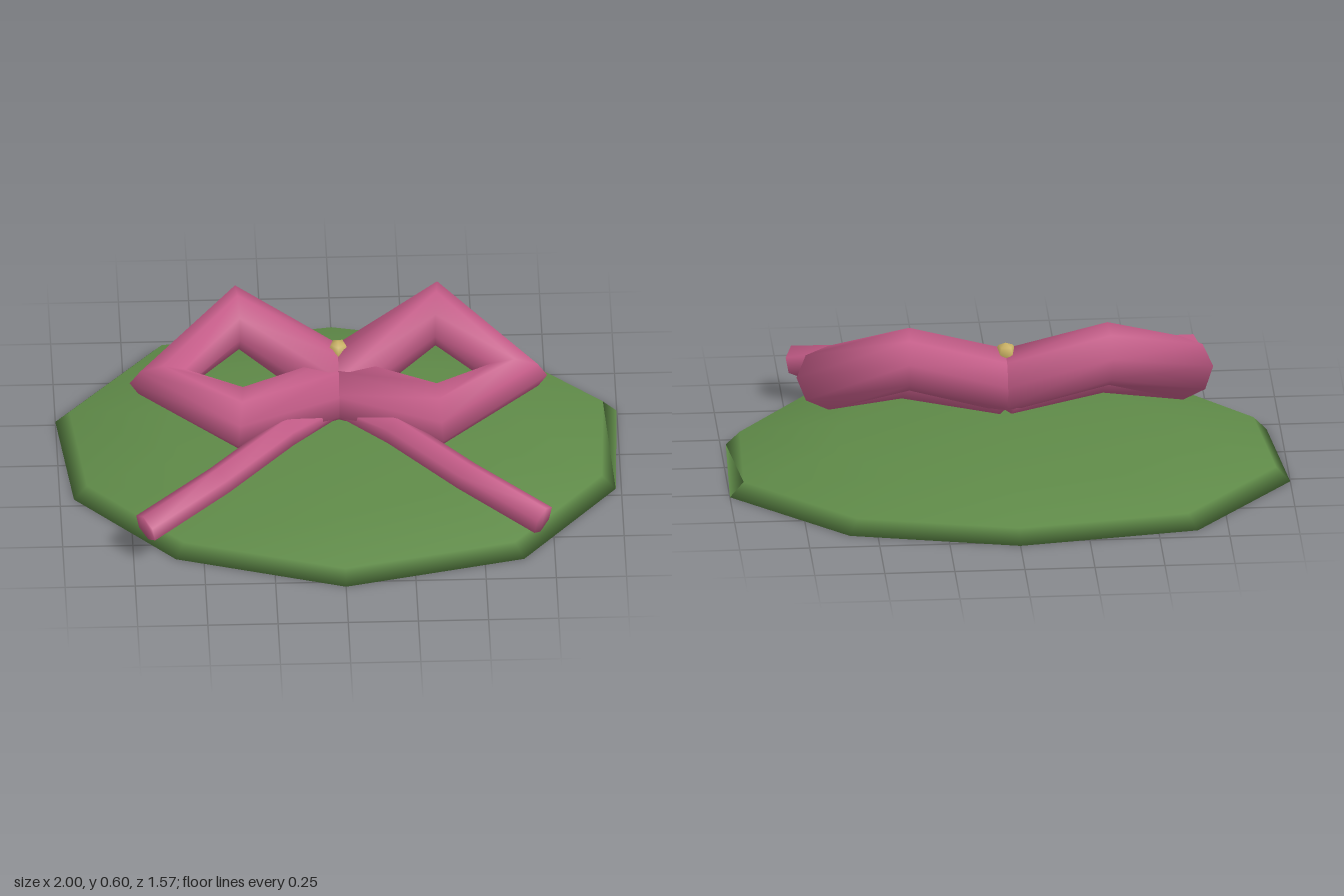
import * as THREE from 'three';

const pink = new THREE.MeshStandardMaterial({ color: 0xc45c88 });
pink.name = 'ribbon pink';
const green = new THREE.MeshStandardMaterial({ color: 0x5f8a48 });
green.name = 'leaf green';
const gold = new THREE.MeshStandardMaterial({ color: 0xc8b063 });
gold.name = 'bead gold';

const V = (p) => new THREE.Vector3(...p);

function makeMesh(name, geometry, material) {
  const mesh = new THREE.Mesh(geometry, material);
  mesh.name = name;
  return mesh;
}

function indexed(positions, index) {
  const g = new THREE.BufferGeometry();
  g.setAttribute('position', new THREE.Float32BufferAttribute(positions, 3));
  g.setIndex(index);
  g.computeVertexNormals();
  return g;
}

// Sweep a round section along straight segments; each ring lies on the corner's bisecting plane
function sweep(path, radii, sides = 8) {
  const pts = path.map(V);
  const last = pts.length - 1;
  const dirs = pts.slice(1).map((p, i) => p.clone().sub(pts[i]).normalize());
  const positions = [], index = [];
  const normal = new THREE.Vector3(0, 1, 0);
  pts.forEach((p, i) => {
    const t = dirs[Math.max(i - 1, 0)].clone().add(dirs[Math.min(i, last - 1)]).normalize();
    normal.addScaledVector(t, -normal.dot(t)).normalize();
    const side = t.clone().cross(normal);
    for (let j = 0; j < sides; j++) {
      const a = (j / sides) * Math.PI * 2;
      const q = p.clone()
        .addScaledVector(normal, Math.cos(a) * radii[i])
        .addScaledVector(side, Math.sin(a) * radii[i]);
      positions.push(q.x, q.y, q.z);
    }
  });
  for (let i = 0; i < last; i++) {
    for (let j = 0; j < sides; j++) {
      const k = (j + 1) % sides;
      const a = i * sides + j, b = i * sides + k, c = a + sides, d = b + sides;
      index.push(a, b, c, b, d, c);
    }
  }
  // end caps, shaded smoothly with the tube
  const end = last * sides;
  for (let j = 1; j < sides - 1; j++) {
    index.push(0, j + 1, j, end, end + j, end + j + 1);
  }
  return indexed(positions, index);
}

// Shallow ten-sided dome with a slightly hollowed underside, built as rings from underside to top
function padGeometry() {
  const outline = [
    [0, -0.785], [0.6, -0.65], [1, -0.27], [0.98, 0.21], [0.64, 0.63],
    [0, 0.78], [-0.6, 0.59], [-0.95, 0.21], [-1, -0.27], [-0.64, -0.69],
  ];
  const rings = [[0.88, 0.028], [1, 0], [0.95, 0.052], [0.6, 0.107]];
  const n = outline.length;
  const positions = [], index = [];
  for (const [s, y] of rings) for (const [x, z] of outline) positions.push(x * s, y, z * s);
  const bottom = positions.length / 3, top = bottom + 1;
  positions.push(0, 0.03, 0, 0, 0.132, 0);
  const lastRing = (rings.length - 1) * n;
  for (let j = 0; j < n; j++) {
    const k = (j + 1) % n;
    index.push(j, k, bottom, lastRing + j, top, lastRing + k);
    for (let i = 0; i < lastRing; i += n) {
      const a = i + j, b = i + k;
      index.push(a, a + n, b, b, a + n, b + n);
    }
  }
  return indexed(positions, index);
}

export function createModel() {
  const model = new THREE.Group();
  model.name = 'bowOnPad';
  model.add(makeMesh('pad', padGeometry(), green));

  // Diamond loops and trailing tails, mirrored about x = 0
  const loop = [[0, 0.322, -0.035], [0.355, 0.487, -0.205], [0.63, 0.345, -0.02], [0.355, 0.305, 0.157], [0, 0.305, -0.015]];
  const loopRadii = loop.map(() => 0.114);
  const tail = [[0, 0.25, 0.03], [0.2, 0.26, 0.195], [0.44, 0.222, 0.425], [0.708, 0.148, 0.603]];
  const tailRadii = [0.03, 0.055, 0.056, 0.057];
  for (const [side, s] of [['left', 1], ['right', -1]]) {
    const mirror = (path) => path.map(([x, y, z]) => [x * s, y, z]);
    model.add(makeMesh(side + 'Loop', sweep(mirror(loop), loopRadii), pink));
    model.add(makeMesh(side + 'Tail', sweep(mirror(tail), tailRadii, 6), pink));
  }

  // Small five-sided bead on the knot
  const bead = makeMesh('bead', new THREE.SphereGeometry(0.04, 5, 4), gold);
  bead.position.set(0, 0.438, -0.06);
  bead.rotation.y = Math.PI / 2;
  model.add(bead);
  return model;
}
